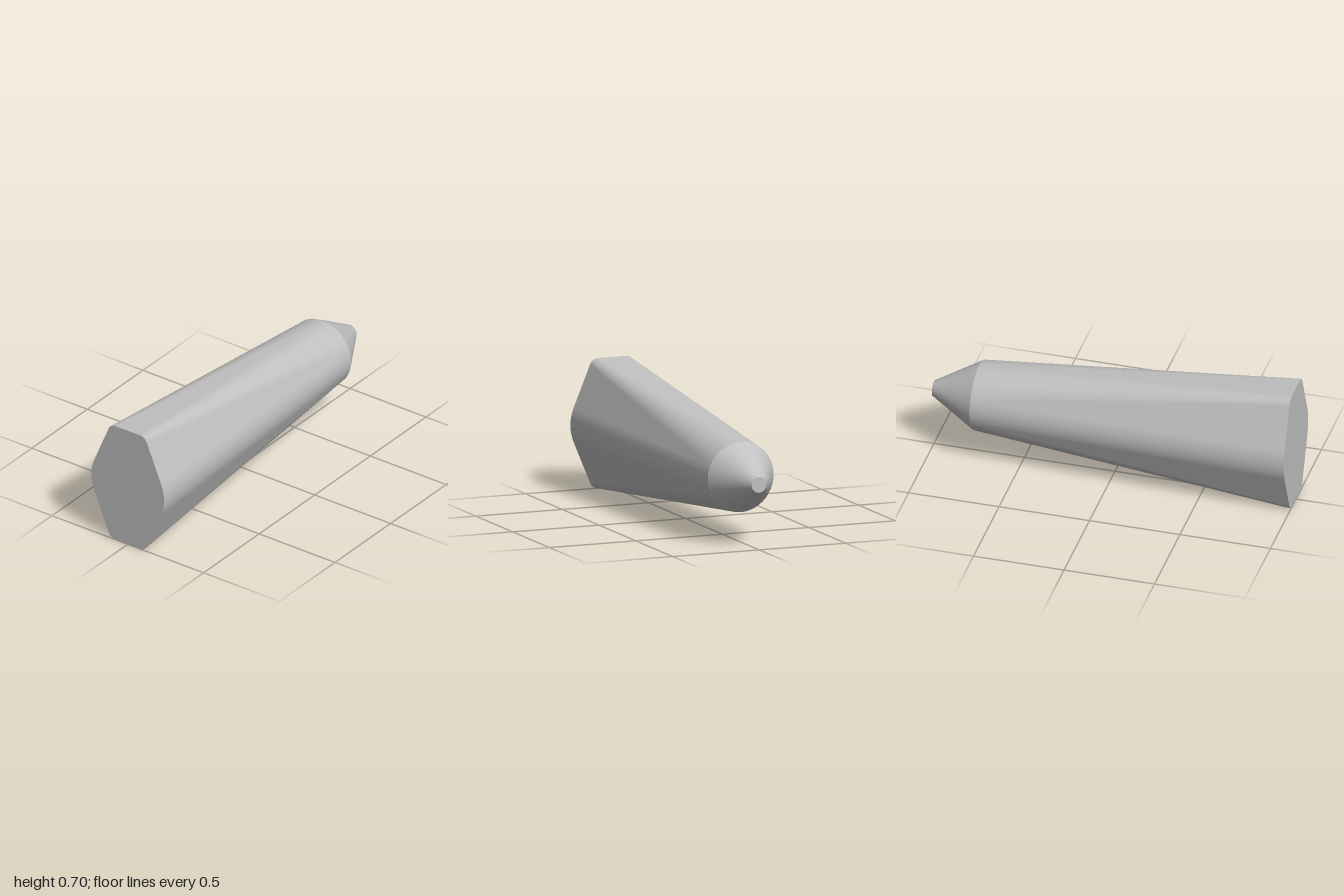
import * as THREE from 'three';

const AXIS_Y = 0.352;           // height of the long axis
const X_BASE = -1, X_NECK = 0.75, X_TIP = 1;
const R_NECK = 0.19, R_TIP = 0.043;
const R_SIDE = 0.24, R_CORNER = 0.05, CZ = 0.08, CY = 0.302;

// Base outline as six tangent arcs; each sample holds its point and normal angle
function baseOutline() {
  const a = Math.atan2(CY, CZ) - Math.acos((R_SIDE - R_CORNER) / Math.hypot(CY, CZ));
  const P = Math.PI;
  const arcs = [
    [0, 0, R_SIDE, -a, a],
    [CZ, CY, R_CORNER, a, P / 2],
    [-CZ, CY, R_CORNER, P / 2, P - a],
    [0, 0, R_SIDE, P - a, P + a],
    [-CZ, -CY, R_CORNER, P + a, 1.5 * P],
    [CZ, -CY, R_CORNER, 1.5 * P, 2 * P - a],
  ];
  const steps = 12, out = [];
  for (const [z, y, r, t0, t1] of arcs) {
    for (let i = 0; i <= steps; i++) {
      const t = t0 + (t1 - t0) * i / steps, c = Math.cos(t), s = Math.sin(t);
      out.push({ z: z + r * c, y: y + r * s, c, s, reach: z * c + y * s + r });
    }
  }
  return out;
}

function makeGeometry(pos, nor, idx) {
  const g = new THREE.BufferGeometry();
  g.setAttribute('position', new THREE.Float32BufferAttribute(pos, 3));
  g.setAttribute('normal', new THREE.Float32BufferAttribute(nor, 3));
  g.setIndex(idx);
  return g;
}

// Skin from the base outline to the round neck, joining points of equal normal angle
function bodyGeometry(outline) {
  const pos = [], nor = [], idx = [], n = outline.length;
  outline.forEach((p, i) => {
    const normal = new THREE.Vector3((p.reach - R_NECK) / (X_NECK - X_BASE), p.s, p.c).normalize();
    pos.push(X_BASE, p.y, p.z, X_NECK, R_NECK * p.s, R_NECK * p.c);
    nor.push(...normal.toArray(), ...normal.toArray());
    const a = 2 * i, b = 2 * ((i + 1) % n);
    idx.push(a, a + 1, b);
    // flats narrow to a single point at the neck, so they need one triangle only
    const q = outline[(i + 1) % n];
    if (Math.hypot(q.c - p.c, q.s - p.s) > 1e-6) idx.push(b, a + 1, b + 1);
  });
  return makeGeometry(pos, nor, idx);
}

// Flat end face looking along -x
function baseCapGeometry(outline) {
  const pos = [X_BASE, 0, 0], nor = [-1, 0, 0], idx = [], n = outline.length;
  outline.forEach((p, i) => {
    pos.push(X_BASE, p.y, p.z);
    nor.push(-1, 0, 0);
    idx.push(0, 1 + i, 1 + (i + 1) % n);
  });
  return makeGeometry(pos, nor, idx);
}

export function createModel() {
  const grey = new THREE.MeshStandardMaterial({ color: 0xc0c0c0 });
  grey.name = 'light grey';
  const group = new THREE.Group();
  group.name = 'taperedBody';

  const add = (name, geometry) => {
    const mesh = new THREE.Mesh(geometry, grey);
    mesh.name = name;
    mesh.position.y = AXIS_Y;
    group.add(mesh);
    return mesh;
  };

  const outline = baseOutline();
  add('body', bodyGeometry(outline));
  add('baseCap', baseCapGeometry(outline));

  // Conical nose
  const nose = new THREE.CylinderGeometry(R_TIP, R_NECK, X_TIP - X_NECK, 72, 1, true);
  nose.rotateZ(-Math.PI / 2);
  nose.translate((X_TIP + X_NECK) / 2, 0, 0);
  add('noseCone', nose);

  // Blunt nose end
  const tip = new THREE.CircleGeometry(R_TIP, 72);
  tip.rotateY(Math.PI / 2);
  tip.translate(X_TIP, 0, 0);
  add('noseTip', tip);

  return group;
}
